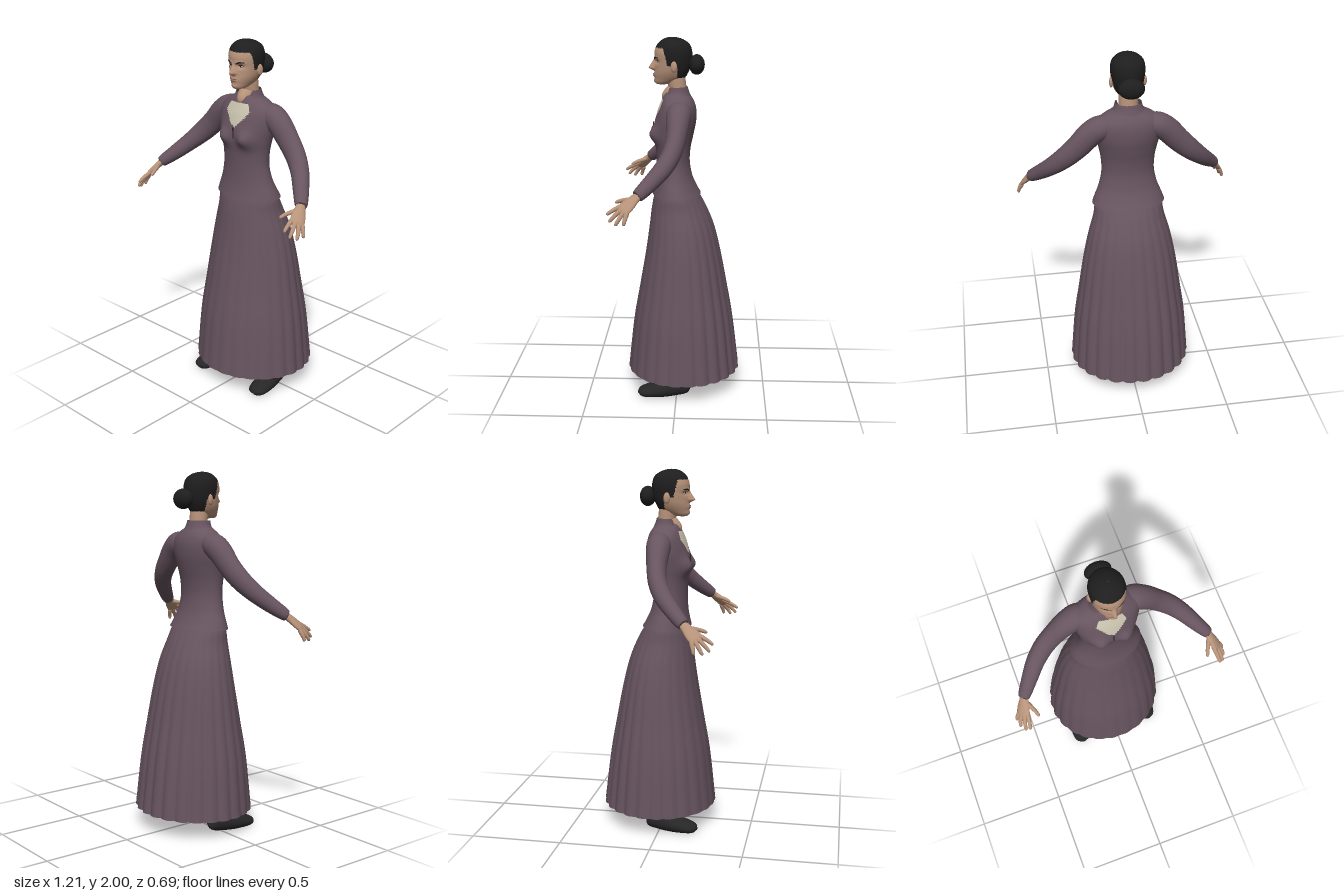
import * as THREE from 'three';

const V = (x, y, z) => new THREE.Vector3(x, y, z);
const mat = (name, color, side = THREE.FrontSide) => {
  const m = new THREE.MeshStandardMaterial({ color, side });
  m.name = name;
  return m;
};
const bump = (d, s) => Math.exp(-(d / s) * (d / s));
const clamp01 = THREE.MathUtils.clamp;

// Smooth skin over a rows x seg grid of points that closes around
function grid(rows, seg, point) {
  const pos = [], idx = [];
  for (let i = 0; i <= rows; i++)
    for (let j = 0; j < seg; j++) pos.push(...point(i / rows, (j / seg) * Math.PI * 2).toArray());
  for (let i = 0; i < rows; i++)
    for (let j = 0; j < seg; j++) {
      const k = (j + 1) % seg, a = i * seg + j, b = i * seg + k, c = a + seg, d = b + seg;
      idx.push(a, b, c, b, d, c);
    }
  const g = new THREE.BufferGeometry();
  g.setAttribute('position', new THREE.Float32BufferAttribute(pos, 3));
  g.setIndex(idx);
  g.computeVertexNormals();
  return g;
}

const spline = (pts) => new THREE.CatmullRomCurve3(pts, false, 'catmullrom', 0.5);

// Upright form from rings of [y, half width, front z, back z]
function loft(rings, rows, seg, rule) {
  const heights = spline(rings.map((r) => V(r[0], 0, 0)));
  const sizes = spline(rings.map((r) => V(r[1], r[2], r[3])));
  return grid(rows, seg, (t, a) => {
    const s = sizes.getPoint(t), mid = (s.y + s.z) / 2, depth = (s.y - s.z) / 2;
    const p = V(Math.sin(a) * s.x, heights.getPoint(t).x, mid + Math.cos(a) * depth);
    if (rule) rule(p, a, t, mid);
    return p;
  });
}

// Limb along points of [x, y, z, radius along side, other radius]
function sweep(points, side, rows = 20, seg = 20, rule) {
  const path = spline(points.map((p) => V(p[0], p[1], p[2])));
  const radii = spline(points.map((p) => V(p[3], p[4] ?? p[3], 0)));
  return grid(rows, seg, (t, a) => {
    const tan = path.getTangent(t), r = radii.getPoint(t);
    const u = side.clone().addScaledVector(tan, -side.dot(tan)).normalize();
    const v = u.clone().cross(tan);
    const p = path.getPoint(t);
    p.addScaledVector(u, Math.sin(a) * Math.max(r.x, 0.0005));
    p.addScaledVector(v, Math.cos(a) * Math.max(r.y, 0.0005));
    if (rule) rule(p);
    return p;
  });
}

// Sort faces into two material groups by their centre
function paint(g, test) {
  const p = g.attributes.position, old = g.index.array, sets = [[], []];
  for (let i = 0; i < old.length; i += 3) {
    const f = [old[i], old[i + 1], old[i + 2]], c = V(0, 0, 0);
    f.forEach((k) => c.add(V(p.getX(k), p.getY(k), p.getZ(k))));
    sets[test(c.divideScalar(3)) ? 1 : 0].push(...f);
  }
  g.setIndex([...sets[0], ...sets[1]]);
  g.addGroup(0, sets[0].length, 0);
  g.addGroup(sets[0].length, sets[1].length, 1);
  return g;
}

export function createModel() {
  const root = new THREE.Group();
  root.name = 'standingWoman';
  const dress = mat('plum cloth', 0x67545f, THREE.DoubleSide);
  const skin = mat('skin', 0xb8937a);
  const hair = mat('black hair', 0x1e1e1e);
  const cream = mat('cream lace', 0xcbc5b0);
  const boot = mat('boot leather', 0x262627);
  const lipColor = mat('lips', 0x97695b);
  const add = (name, geo, m, parent = root) => {
    const mesh = new THREE.Mesh(geo, m);
    mesh.name = name;
    parent.add(mesh);
    return mesh;
  };
  const ball = (name, m, at, size, parent) => {
    const mesh = add(name, new THREE.SphereGeometry(1, 24, 16), m, parent);
    mesh.position.set(...at);
    mesh.scale.set(...size);
    return mesh;
  };

  // Skirt with scalloped pleats that fade out at the front
  add('skirt', loft([
    [0.11, 0.35, 0.285, -0.355], [0.4, 0.325, 0.252, -0.318], [0.6, 0.295, 0.217, -0.282],
    [0.8, 0.264, 0.182, -0.243], [0.95, 0.232, 0.16, -0.205], [1.06, 0.2, 0.146, -0.16],
    [1.13, 0.188, 0.132, -0.122], [1.18, 0.165, 0.115, -0.095]], 40, 192, (p, a, t, mid) => {
    const amount = 0.05 * (1 - t) * (0.3 + 0.35 * (1 - Math.cos(a)));
    const k = 1 - amount * (1 - Math.abs(Math.sin(a * 12)));
    p.x *= k;
    p.z = mid + (p.z - mid) * k;
  }), dress);

  // Fitted jacket with peplum; the lace front is a group of its faces
  const torso = loft([
    [1.14, 0.202, 0.14, -0.128], [1.18, 0.187, 0.13, -0.105], [1.24, 0.163, 0.121, -0.08],
    [1.32, 0.146, 0.118, -0.066], [1.4, 0.148, 0.122, -0.071], [1.47, 0.16, 0.13, -0.086],
    [1.54, 0.176, 0.127, -0.1], [1.6, 0.182, 0.112, -0.102], [1.64, 0.172, 0.097, -0.094],
    [1.67, 0.135, 0.085, -0.08], [1.69, 0.095, 0.076, -0.066], [1.705, 0.072, 0.066, -0.056],
    [1.708, 0.05, 0.05, -0.045]], 72, 112, (p) => {
    if (p.z > 0) p.z += 0.034 * bump(Math.abs(p.x) - 0.075, 0.045) * bump(p.y - 1.48, 0.045);
  });
  const laceWidth = (y) => y > 1.63 ? 0.08 - (y - 1.63) * 0.5 : 0.085 * Math.pow(clamp01((y - 1.54) / 0.09, 0, 1), 0.8);
  const isLace = (c) => c.z > 0 && c.y < 1.668 && Math.abs(c.x) < laceWidth(c.y);
  add('jacketWithLaceFront', paint(torso, isLace), [dress, cream]);
  // Open throat between the collar points
  add('throat', sweep([[0, 1.655, 0.05, 0.02, 0.02], [0, 1.67, 0.046, 0.038, 0.046],
    [0, 1.71, 0.02, 0.048, 0.045], [0, 1.73, 0.01, 0.04, 0.035]], V(1, 0, 0)), skin);
  // Front closing below the lace
  const placket = add('placket', new THREE.BoxGeometry(0.004, 0.06, 0.006), boot);
  placket.position.set(0, 1.51, 0.134);

  // Standing collar, dropped at the front
  add('collar', loft([[1.68, 0.1, 0.08, -0.072], [1.705, 0.08, 0.071, -0.062], [1.735, 0.071, 0.066, -0.052]],
    8, 64, (p, a, t) => { p.y -= 0.062 * t * clamp01((Math.cos(a) - 0.6) / 0.3, 0, 1); }), dress);

  add('neck', sweep([[0, 1.66, -0.002, 0.056, 0.052], [0, 1.72, 0.002, 0.052, 0.049],
    [0, 1.77, 0.008, 0.052, 0.05], [0, 1.83, 0.015, 0.05, 0.045]], V(1, 0, 0)), skin);

  // Head: modelled face, with the hair as a group of its faces
  const head = loft([
    [1.745, 0.006, 0.1, 0.07], [1.752, 0.034, 0.12, 0.03], [1.78, 0.058, 0.126, -0.035],
    [1.81, 0.074, 0.127, -0.056], [1.84, 0.083, 0.125, -0.069], [1.88, 0.089, 0.125, -0.077],
    [1.92, 0.092, 0.127, -0.078], [1.96, 0.083, 0.112, -0.065], [1.985, 0.058, 0.086, -0.033],
    [1.997, 0.028, 0.058, 0.002], [2.0, 0.001, 0.03, 0.029]], 72, 96, (p) => {
    if (p.z < 0.06) return;
    const x = Math.abs(p.x), y = p.y;
    const ridge = y > 1.835 ? clamp01((1.89 - y) / 0.055, 0, 1) : clamp01((y - 1.818) / 0.017, 0, 1);
    p.z += 0.036 * ridge * bump(x, 0.009 + 0.006 * ridge);
    p.z -= 0.011 * bump(x - 0.036, 0.02) * bump(y - 1.871, 0.011);
    p.z += 0.005 * bump(x - 0.03, 0.03) * bump(y - 1.89, 0.008);
    p.z += 0.006 * bump(x, 0.025) * bump(y - 1.798, 0.013);
    p.z += 0.006 * bump(x, 0.022) * bump(y - 1.764, 0.012);
  });
  const isHair = (c) => {
    if (c.z < 0) return c.y > 1.785;
    if (c.z < 0.055) return c.y > 1.85;
    return c.y > Math.min(1.945, 1.86 + (c.z - 0.055) * 4);
  };
  add('headWithHair', paint(head, isHair), [skin, hair]);
  ball('hairBun', hair, [0, 1.853, -0.103], [0.07, 0.055, 0.043]);
  ball('upperLip', lipColor, [0, 1.803, 0.127], [0.021, 0.004, 0.008]);
  ball('lowerLip', lipColor, [0, 1.795, 0.127], [0.018, 0.005, 0.008]);

  for (const s of [1, -1]) {
    const sideName = s > 0 ? 'left' : 'right';
    const part = (n) => sideName + n;
    const flip = (pts) => pts.map(([x, ...rest]) => [x * s, ...rest]);

    // Ear, eye and brow
    ball(part('Ear'), skin, [s * 0.088, 1.848, 0.018], [0.011, 0.03, 0.018]).rotation.y = s * -0.3;
    ball(part('Eye'), cream, [s * 0.036, 1.871, 0.1], [0.013, 0.006, 0.01]);
    ball(part('Iris'), hair, [s * 0.035, 1.871, 0.106], [0.006, 0.006, 0.006]);
    add(part('UpperLid'), sweep(flip([[0.022, 1.874, 0.11, 0.002], [0.035, 1.879, 0.111, 0.003],
      [0.05, 1.874, 0.1, 0.002]]), V(0, 1, 0), 10, 8), hair);
    add(part('Brow'), sweep(flip([[0.014, 1.885, 0.125, 0.003], [0.035, 1.893, 0.12, 0.0045],
      [0.058, 1.892, 0.104, 0.002]]), V(0, 1, 0), 12, 8), hair);

    // Sleeve from inside the shoulder to the wrist
    add(part('Sleeve'), sweep(flip([
      [0.09, 1.615, -0.012, 0.05, 0.045], [0.15, 1.605, -0.012, 0.066, 0.066], [0.21, 1.565, -0.008, 0.062, 0.069],
      [0.275, 1.495, -0.002, 0.053, 0.065], [0.345, 1.425, 0.018, 0.05, 0.059], [0.41, 1.36, 0.06, 0.048, 0.05],
      [0.47, 1.297, 0.122, 0.042, 0.042], [0.52, 1.247, 0.178, 0.034, 0.032], [0.526, 1.241, 0.185, 0.022, 0.02]]),
    V(0, 0, 1), 48, 32), dress);

    // Hand: flat palm, four fingers and a thumb
    const hand = new THREE.Group();
    hand.name = part('Hand');
    root.add(hand);
    add('palm', sweep(flip([[0.512, 1.257, 0.168, 0.024, 0.02], [0.53, 1.229, 0.198, 0.028, 0.018],
      [0.545, 1.202, 0.228, 0.038, 0.016], [0.558, 1.178, 0.255, 0.039, 0.013], [0.564, 1.168, 0.268, 0.02, 0.005]]),
    V(-0.045 * s, 0.03, 0.04)), skin, hand);
    const digits = {
      indexFinger: [[0.535, 1.195, 0.262], [0.541, 1.172, 0.308], [0.547, 1.15, 0.342]],
      middleFinger: [[0.552, 1.181, 0.262], [0.565, 1.147, 0.3], [0.57, 1.117, 0.328]],
      ringFinger: [[0.567, 1.168, 0.252], [0.584, 1.133, 0.276], [0.59, 1.103, 0.294]],
      littleFinger: [[0.578, 1.16, 0.236], [0.592, 1.13, 0.245], [0.598, 1.105, 0.25]],
      thumb: [[0.517, 1.223, 0.222], [0.494, 1.212, 0.268], [0.481, 1.198, 0.302]],
    };
    for (const [name, [base, mid, tip]] of Object.entries(digits)) {
      const near = tip.map((v, i) => v + (mid[i] - v) * 0.2);
      const root0 = base.map((v, i) => v + (v - mid[i]) * 0.4);
      add(name, sweep(flip([[...root0, 0.008], [...base, 0.0125], [...mid, 0.0105], [...near, 0.008], [...tip, 0.001]]),
        V(0.3, 1, 0.2), 16, 12), skin, hand);
    }

    // Boot: foot with flat sole, and shaft rising under the skirt
    const shoe = new THREE.Group();
    shoe.name = part('Boot');
    root.add(shoe);
    add('foot', sweep(flip([
      [0.2, 0.06, -0.072, 0.004, 0.004], [0.2, 0.058, -0.06, 0.04, 0.042], [0.206, 0.058, 0, 0.05, 0.055],
      [0.213, 0.045, 0.08, 0.06, 0.05], [0.219, 0.032, 0.155, 0.058, 0.036], [0.223, 0.026, 0.2, 0.042, 0.024],
      [0.224, 0.022, 0.218, 0.004, 0.004]]), V(1, 0, 0), 32, 28, (p) => { p.y = Math.max(p.y, 0); }), boot, shoe);
    add('shaft', sweep(flip([[0.203, 0.04, 0.002, 0.045, 0.06], [0.202, 0.12, -0.002, 0.05, 0.066],
      [0.185, 0.25, -0.01, 0.05, 0.058], [0.17, 0.4, -0.02, 0.055, 0.06], [0.17, 0.41, -0.02, 0.002, 0.002]]),
    V(1, 0, 0), 20, 24), boot, shoe);
  }
  return root;
}
